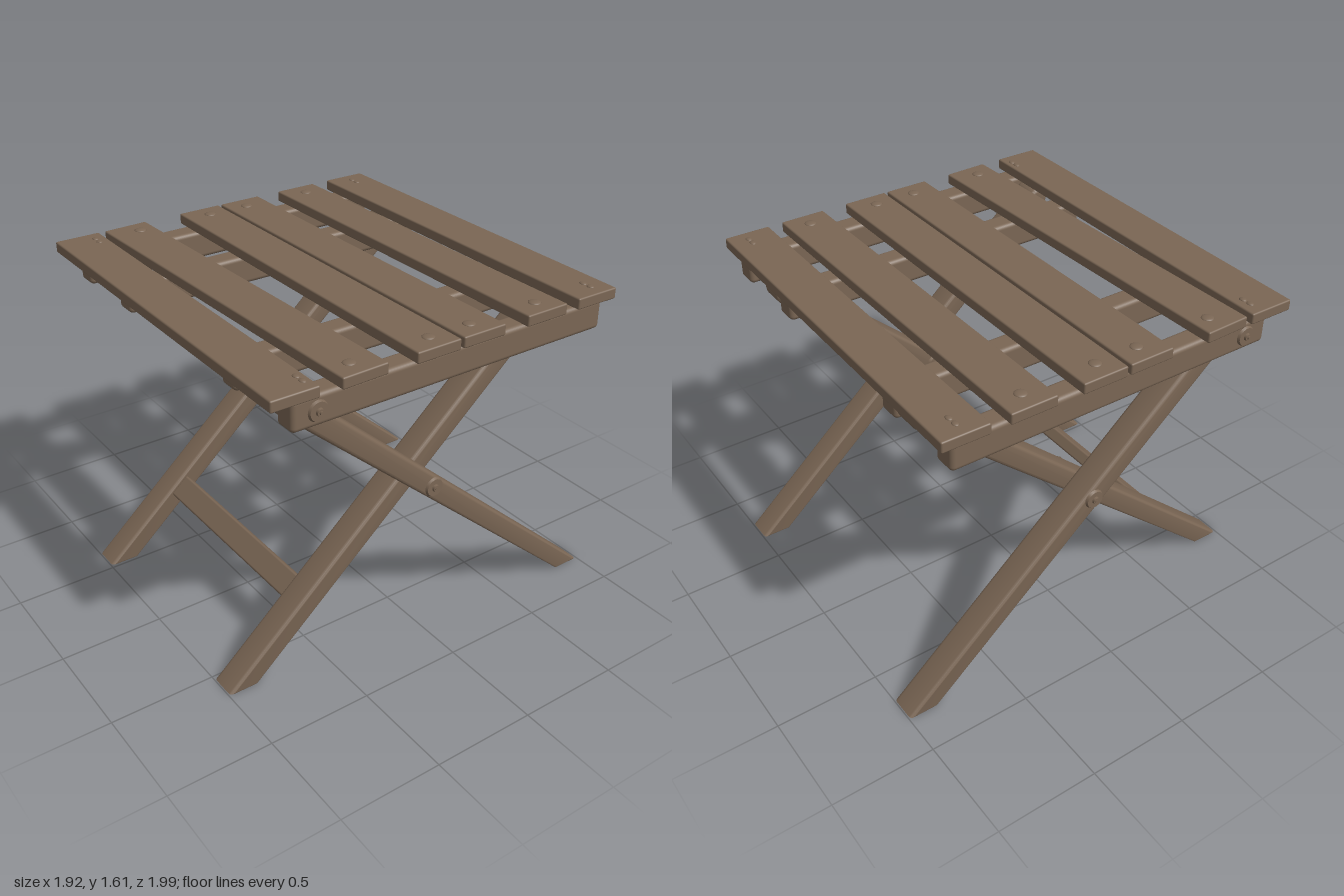
import * as THREE from 'three';
import { toCreasedNormals } from 'three/addons/utils/BufferGeometryUtils.js';
import { RoundedBoxGeometry } from 'three/addons/geometries/RoundedBoxGeometry.js';

export function createModel() {
  const model = new THREE.Group();
  model.name = 'foldingStool';
  const wood = new THREE.MeshStandardMaterial({ color: 0x7a6654 });
  wood.name = 'brown wood';

  function add(name, geometry, x, y, z, parent = model) {
    const mesh = new THREE.Mesh(geometry, wood);
    mesh.name = name;
    mesh.position.set(x, y, z);
    parent.add(mesh);
    return mesh;
  }

  // Leg: slanted bar with a flat foot and a rounded top, bevelled all round
  const slope = Math.atan2(0.81, 0.92);
  const bevel = 0.018, legWidth = 0.14;
  function legGeometry() {
    const r = 0.055 - bevel;
    const half = r / Math.sin(slope);
    const y0 = bevel * 0.3;
    const foot = 0.92 - y0 / Math.tan(slope);
    const top = new THREE.Vector2(-0.765, 1.478);
    const shape = new THREE.Shape();
    shape.moveTo(foot - half, y0);
    shape.lineTo(foot + half, y0);
    shape.absarc(top.x, top.y, r, Math.PI / 2 - slope, Math.PI * 1.5 - slope, false);
    shape.closePath();
    const g = new THREE.ExtrudeGeometry(shape, {
      depth: legWidth - 2 * bevel, bevelEnabled: true, bevelSize: bevel,
      bevelThickness: bevel, bevelSegments: 3, curveSegments: 14,
    });
    g.translate(0, 0, -(legWidth / 2 - bevel));
    g.rotateY(Math.PI / 2);
    // Level the sole on the ground
    const p = g.attributes.position;
    for (let i = 0; i < p.count; i++) if (p.getY(i) < 0.004) p.setY(i, 0);
    return toCreasedNormals(g, 0.6);
  }
  const leg = legGeometry();

  // Outer legs stand at the back, inner legs are the same bar turned round
  for (const s of [-1, 1]) {
    add('outerLeg', leg, s * 0.735, 0, 0);
    add('innerLeg', leg, s * 0.585, 0, 0).rotation.y = Math.PI;
  }

  // Stretcher between the inner legs, lying in their plane
  add('stretcher', new RoundedBoxGeometry(1.04, 0.065, 0.12, 3, 0.01), 0, 0.315, 0.56).rotation.x = slope;

  // Seat rails
  const rail = new RoundedBoxGeometry(0.112, 0.142, 1.64, 4, 0.022);
  for (const s of [-1, 1]) {
    add('outerRail', rail, s * 0.866, 1.48, 0);
    add('innerRail', rail, s * 0.456, 1.48, 0);
  }

  // Pivot bolts: shank along x with a washer and a nut at the exposed end
  const washer = new THREE.CylinderGeometry(0.042, 0.048, 0.012, 24);
  const nut = new THREE.CylinderGeometry(0.016, 0.018, 0.012, 12);
  function bolt(name, xIn, xOut, y, z, ends) {
    const group = new THREE.Group();
    group.name = name;
    const length = Math.abs(xOut - xIn);
    add('shank', new THREE.CylinderGeometry(0.008, 0.008, length, 10), (xIn + xOut) / 2, y, z, group).rotation.z = Math.PI / 2;
    for (const [face, dir] of ends) {
      add('washer', washer, face + dir * 0.005, y, z, group).rotation.z = -dir * Math.PI / 2;
      add('nut', nut, face + dir * 0.016, y, z, group).rotation.z = -dir * Math.PI / 2;
    }
    model.add(group);
  }
  for (const s of [-1, 1]) {
    bolt('frontPivot', s * 0.7, s * 0.952, 1.48, 0.7, [[s * 0.922, s]]);
    bolt('backPivot', s * 0.62, s * 0.376, 1.48, -0.7, [[s * 0.4, -s]]);
    bolt('crossPivot', s * 0.49, s * 0.83, 0.813, 0, [[s * 0.805, s], [s * 0.515, -s]]);
  }

  // Seat slats, a few slightly askew: centre z at the left and right ends of the seat
  const slat = new RoundedBoxGeometry(1.915, 0.053, 0.224, 3, 0.008);
  const slats = [
    [-0.772, -0.752, true], [-0.457, -0.457, false], [-0.107, -0.107, false],
    [0.133, 0.133, false], [0.55, 0.497, false], [0.805, 0.822, true],
  ];
  const nailZ = [-0.775, -0.46, -0.093, 0.122, 0.515, 0.745];
  const dome = new THREE.SphereGeometry(0.029, 20, 6, 0, Math.PI * 2, 0, Math.PI / 2);
  dome.scale(1, 0.3, 1);
  const smallDome = dome.clone().scale(0.65, 0.8, 0.5);
  slats.forEach(([za, zb, paired], i) => {
    add('slat', slat, -0.002, 1.58, (za + zb) / 2).rotation.y = Math.atan2(za - zb, 1.915);
    // Nail heads at each end
    for (const s of [-1, 1]) {
      if (paired) {
        for (const dx of [-0.022, 0.022]) add('nailHead', smallDome, s * 0.863 + dx, 1.606, nailZ[i]);
      } else {
        add('nailHead', dome, s * 0.865, 1.606, nailZ[i]);
      }
    }
  });

  return model;
}
